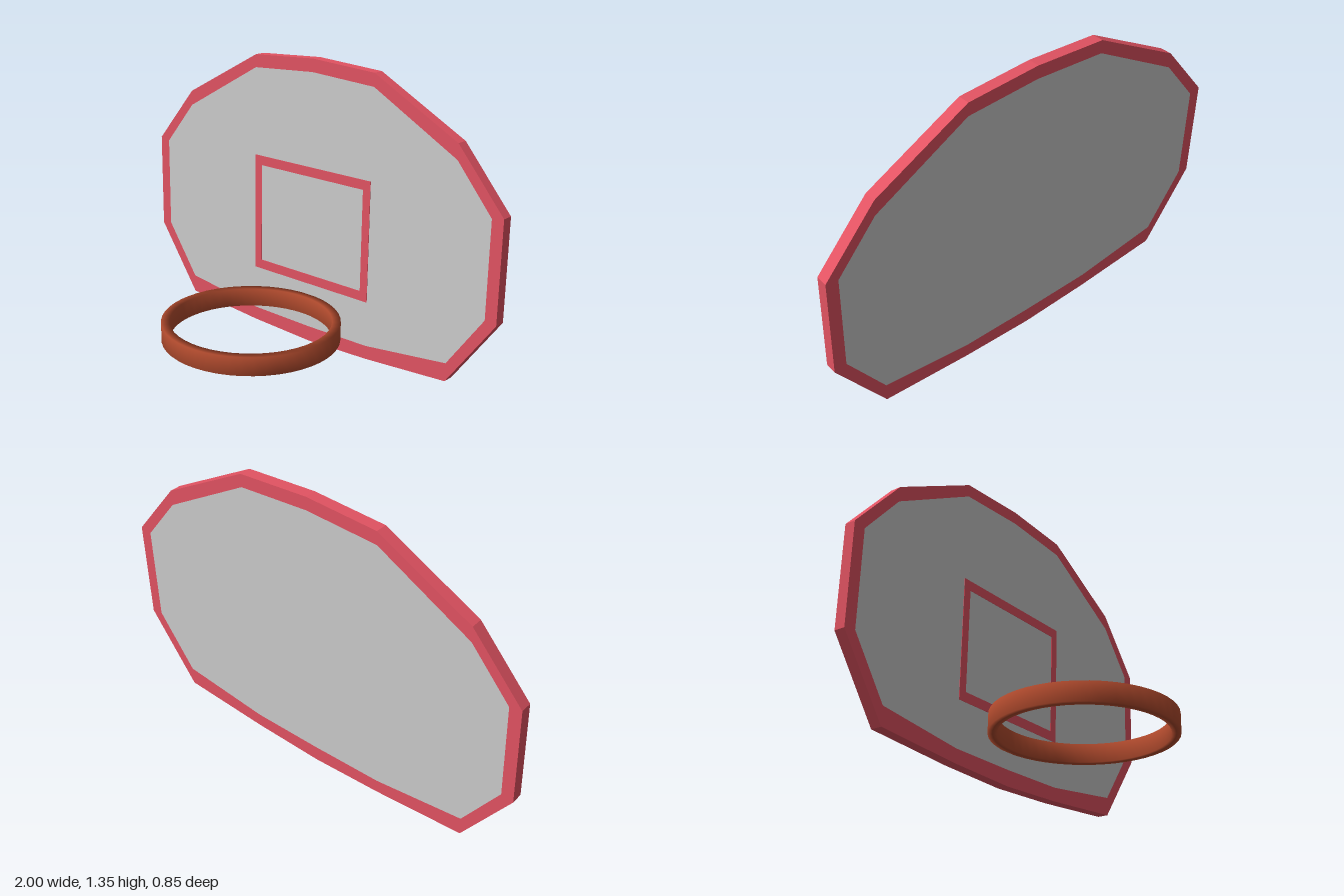
import * as THREE from 'three';

const red = new THREE.MeshStandardMaterial({ color: 0xe25362 });
const grey = new THREE.MeshStandardMaterial({ color: 0xcccccc });
const orange = new THREE.MeshStandardMaterial({ color: 0xb04a2d });

const BACK = -0.425, DEPTH = 0.052;

// Mirror a right-hand half outline (bottom centre to top centre) into a closed loop
function mirrored(half) {
  const left = half.slice(1, -1).reverse().map(([x, y]) => [-x, y]);
  return [...half, ...left].map(([x, y]) => new THREE.Vector2(x, y));
}

const rect = (w, y0, y1) => mirrored([[0, y0], [w, y0], [w, y1], [0, y1]]);

// Flat plate with an optional hole, its back at z
function plate(name, outline, hole, z, depth, material) {
  const shape = new THREE.Shape(outline);
  if (hole) shape.holes.push(new THREE.Path(hole));
  const geometry = new THREE.ExtrudeGeometry(shape, { depth, bevelEnabled: false });
  const mesh = new THREE.Mesh(geometry, material);
  mesh.name = name;
  mesh.position.z = z;
  return mesh;
}

export function createModel() {
  const model = new THREE.Group();
  model.name = 'basketballHoop';

  const outer = mirrored([[0, 0], [0.34, 0.013], [0.77, 0.045], [1, 0.37],
    [1, 0.83], [0.77, 1.1], [0.34, 1.33], [0, 1.35]]);
  const inner = mirrored([[0, 0.073], [0.34, 0.077], [0.77, 0.13], [0.945, 0.38],
    [0.945, 0.82], [0.77, 1.03], [0.34, 1.27], [0, 1.29]]);

  // Backboard: border, panel flush inside it, and the thin shooting square
  model.add(plate('backboardBorder', outer, inner, BACK, DEPTH, red));
  model.add(plate('backboardPanel', inner, null, BACK, DEPTH, grey));
  model.add(plate('shootingSquare', rect(0.34, 0.29, 0.855), rect(0.3, 0.335, 0.81),
    BACK + DEPTH, 0.002, red));

  // Rim: rectangular band with softly shaded edges, touching the board
  const profile = [[0.38, 0.15], [0.4, 0.15], [0.4, 0.235], [0.362, 0.235], [0.362, 0.15], [0.38, 0.15]]
    .map(([x, y]) => new THREE.Vector2(x, y));
  const rim = new THREE.Mesh(new THREE.LatheGeometry(profile, 48), orange);
  rim.name = 'rim';
  rim.position.z = 0.025;
  model.add(rim);

  return model;
}
